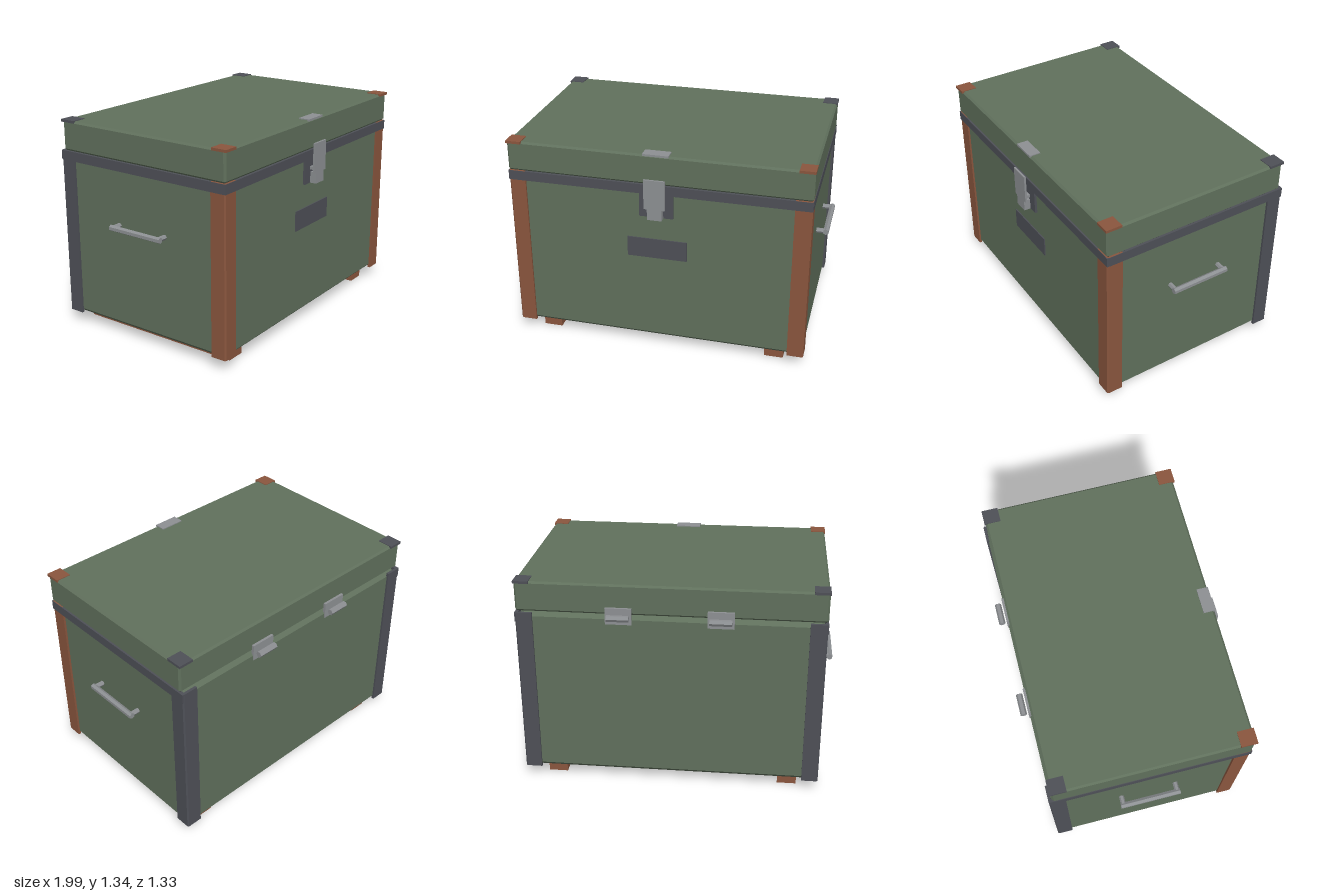
import * as THREE from 'three';
import { ConvexGeometry } from 'three/addons/geometries/ConvexGeometry.js';

const paint = (name, color) => {
  const m = new THREE.MeshStandardMaterial({ color });
  m.name = name;
  return m;
};

// Box with every edge cut by a flat chamfer c, given by its min and max corners
function chamferBox(x0, x1, y0, y1, z0, z1, c) {
  const half = [(x1 - x0) / 2, (y1 - y0) / 2, (z1 - z0) / 2];
  const points = [];
  for (const sx of [-1, 1]) for (const sy of [-1, 1]) for (const sz of [-1, 1])
    for (let axis = 0; axis < 3; axis++) {
      const p = half.map((h, i) => h - (i === axis ? 0 : c));
      points.push(new THREE.Vector3(sx * p[0], sy * p[1], sz * p[2]));
    }
  return new ConvexGeometry(points).translate((x0 + x1) / 2, (y0 + y1) / 2, (z0 + z1) / 2);
}

function box(x0, x1, y0, y1, z0, z1) {
  return new THREE.BoxGeometry(x1 - x0, y1 - y0, z1 - z0)
    .translate((x0 + x1) / 2, (y0 + y1) / 2, (z0 + z1) / 2);
}

function extrude(points, depth) {
  const shape = new THREE.Shape(points.map(([x, y]) => new THREE.Vector2(x, y)));
  return new THREE.ExtrudeGeometry(shape, { depth, bevelEnabled: false });
}

// Six-sided rod between two points
function rod(a, b, r) {
  const from = new THREE.Vector3(...a), to = new THREE.Vector3(...b);
  const dir = to.clone().sub(from);
  const g = new THREE.CylinderGeometry(r, r, dir.length(), 6);
  g.applyQuaternion(new THREE.Quaternion().setFromUnitVectors(new THREE.Vector3(0, 1, 0), dir.normalize()));
  const mid = from.add(to).multiplyScalar(0.5);
  return g.translate(mid.x, mid.y, mid.z);
}

export function createModel() {
  const green = paint('green panel', 0x60705c);
  const brown = paint('brown wood', 0x8a563e);
  const dark = paint('dark iron', 0x4e5057);
  const steel = paint('steel', 0x8d9093);
  for (const m of [brown, dark, steel]) m.flatShading = true;

  const model = new THREE.Group();
  model.name = 'chest';
  const add = (name, geometry, material, parent = model) => {
    const mesh = new THREE.Mesh(geometry, material);
    mesh.name = name;
    parent.add(mesh);
    return mesh;
  };
  const group = (name) => {
    const g = new THREE.Group();
    g.name = name;
    model.add(g);
    return g;
  };

  // Body and lid
  add('body', chamferBox(-0.92, 0.92, 0.07, 1.14, -0.61, 0.61, 0.025), green);
  add('lid', chamferBox(-0.935, 0.935, 1.142, 1.332, -0.6, 0.623, 0.012), green);

  // Corner posts with an L section, brown in front and dark behind
  for (const sx of [-1, 1]) for (const sz of [-1, 1]) {
    const outline = [
      [0.83, 0.622], [0.925, 0.622], [0.933, 0.614], [0.933, 0.52],
      [0.915, 0.52], [0.915, 0.605], [0.83, 0.605],
    ].map(([x, z]) => [x * sx, -z * sz]);
    const post = extrude(outline, 1.07).rotateX(-Math.PI / 2).translate(0, 0.07, 0);
    add(sz > 0 ? 'frontPost' : 'backPost', post, sz > 0 ? brown : dark);
  }

  // Rim band on the front and sides, dropping behind the latch
  const rim = group('rimBand');
  const front = extrude([
    [-0.935, 1.14], [-0.935, 1.08], [-0.105, 1.08], [-0.105, 0.93],
    [0.105, 0.93], [0.105, 1.08], [0.935, 1.08], [0.935, 1.14],
  ], 0.018).translate(0, 0, 0.607);
  add('frontRim', front, dark, rim);
  add('rightRim', box(-0.936, -0.915, 1.08, 1.14, -0.62, 0.61), dark, rim);
  add('leftRim', box(0.915, 0.936, 1.08, 1.14, -0.62, 0.61), dark, rim);

  // Small pads on the lid corners
  for (const s of [-1, 1]) {
    const x0 = s > 0 ? 0.843 : -0.938, x1 = x0 + 0.095;
    add('frontLidCorner', box(x0, x1, 1.32, 1.336, 0.53, 0.632), brown);
    add('backLidCorner', box(x0, x1, 1.32, 1.336, -0.608, -0.505), dark);
  }

  // Runners under the chest
  for (const s of [-1, 1])
    add('runner', box(s * 0.74 - 0.06, s * 0.74 + 0.06, 0, 0.072, -0.55, 0.555), brown);

  // Plain plate on the front
  add('frontPlate', box(-0.187, 0.187, 0.645, 0.775, 0.608, 0.617), dark);

  // Latch: hasp, pin, lock block and the lid tab
  const latch = group('latch');
  add('hasp', box(-0.065, 0.065, 1.0, 1.19, 0.654, 0.667), steel, latch);
  add('latchPin', box(-0.05, 0.05, 1.017, 1.037, 0.62, 0.656), steel, latch);
  add('lockBlock', box(-0.045, 0.045, 0.93, 1.0, 0.62, 0.667), steel, latch);
  add('lidTab', box(-0.08, 0.08, 1.325, 1.338, 0.555, 0.627), steel, latch);

  // Side handles
  for (const s of [-1, 1]) {
    const handle = group(s > 0 ? 'leftHandle' : 'rightHandle');
    add('grip', rod([s * 0.981, 0.735, -0.193], [s * 0.981, 0.735, 0.193], 0.019), steel, handle);
    for (const z of [-0.175, 0.175])
      add('handleArm', rod([s * 0.91, 0.735, z], [s * 0.981, 0.735, z], 0.016), steel, handle);
  }

  // Hinges on the back
  for (const x of [-0.307, 0.307]) {
    const hinge = group('hinge');
    add('hingePlate', box(x - 0.08, x + 0.08, 1.085, 1.188, -0.616, -0.598), steel, hinge);
    add('hingeBarrel', rod([x - 0.067, 1.136, -0.645], [x + 0.067, 1.136, -0.645], 0.02), steel, hinge);
  }
  return model;
}
